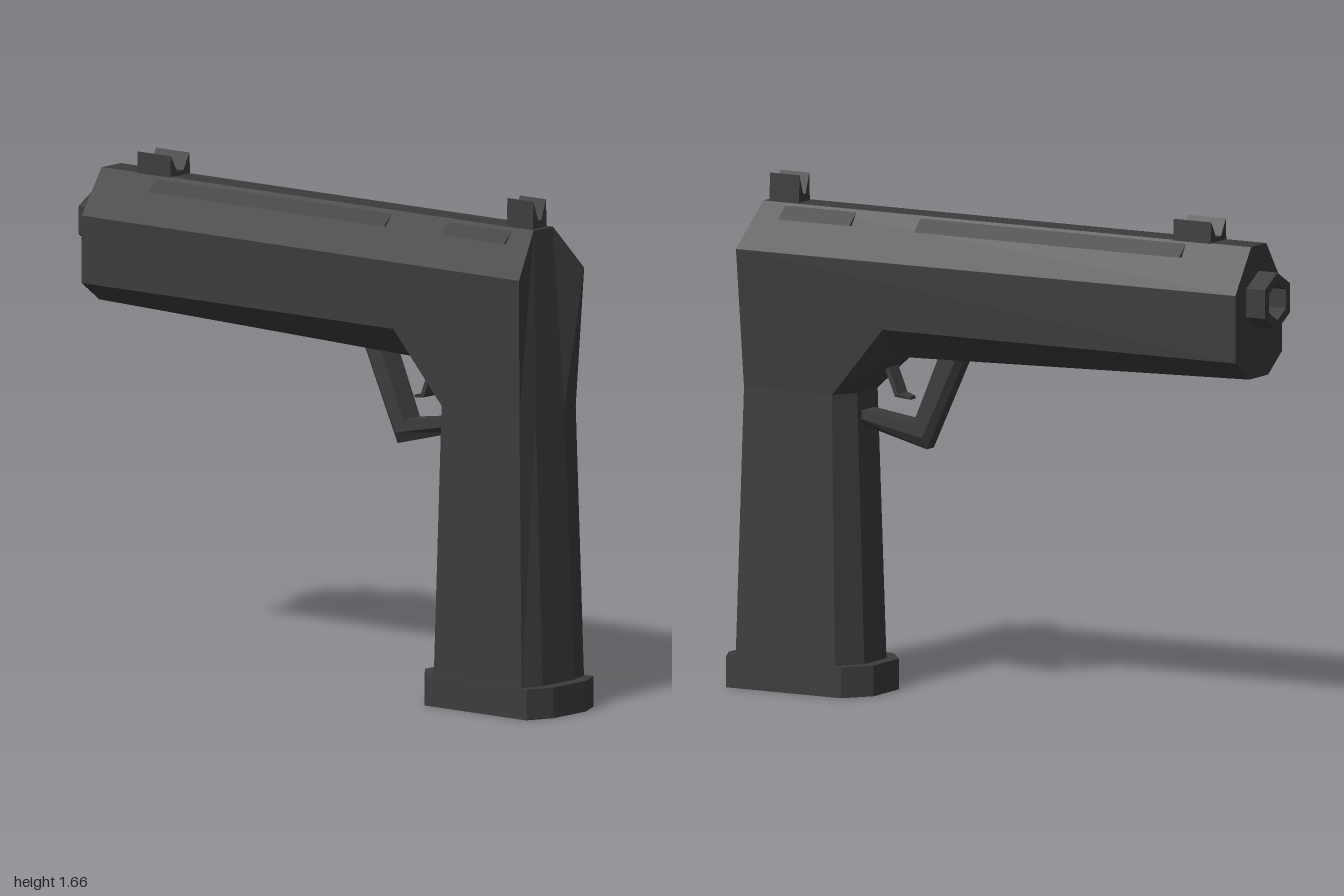
import * as THREE from 'three';

const material = new THREE.MeshStandardMaterial({ color: 0x3c3c3c, flatShading: true });

// Lofts closed rings; each ring is given as its +x half, [x, y, z], and mirrored.
function loft(name, halves) {
  const rings = halves.map(h => [...h, ...[...h].reverse().map(([x, y, z]) => [-x, y, z])]);
  const n = rings[0].length, index = [];
  for (let r = 0; r < rings.length - 1; r++) {
    for (let i = 0; i < n; i++) {
      const j = (i + 1) % n, a = r * n + i, b = r * n + j;
      index.push(a, b, b + n, a, b + n, a + n);
    }
  }
  const last = (rings.length - 1) * n;
  for (let i = 1; i < n - 1; i++) {
    index.push(0, i + 1, i, last, last + i, last + i + 1);
  }
  const g = new THREE.BufferGeometry();
  g.setAttribute('position', new THREE.Float32BufferAttribute(rings.flat(2), 3));
  g.setIndex(index);
  const flat = g.toNonIndexed();
  flat.computeVertexNormals();
  return named(name, flat);
}

function named(name, geometry) {
  const mesh = new THREE.Mesh(geometry, material);
  mesh.name = name;
  return mesh;
}

const shapeOf = points => new THREE.Shape(points.map(([x, y]) => new THREE.Vector2(x, y)));

// Extrudes an x-y shape between two z positions.
function prism(name, shape, z0, z1) {
  const g = new THREE.ExtrudeGeometry(shape, { depth: z1 - z0, bevelEnabled: false });
  g.translate(0, 0, z0);
  return named(name, g);
}

function hexagon(r, cy) {
  return Array.from({ length: 6 }, (_, i) => {
    const a = Math.PI / 2 + i * Math.PI / 3;
    return [r * Math.cos(a), cy + r * Math.sin(a)];
  });
}

// Symmetric sight with two pointed blades and a notch between them.
function sight(name, outer, peak, notch, base, top, floor, z0, z1) {
  return prism(name, shapeOf([
    [-outer, base], [outer, base], [peak, top], [notch, floor], [-notch, floor], [-peak, top],
  ]), z0, z1);
}

export function createModel() {
  const group = new THREE.Group();
  group.name = 'pistol';

  // Grip and slide: one chamfered section that turns the corner
  group.add(loft('gripAndSlide', [
    [[0.08, 0.1, 0.955], [0.155, 0.1, 0.93], [0.155, 0.1, 0.56], [0.07, 0.1, 0.5]],
    [[0.07, 0.98, 0.918], [0.14, 0.98, 0.908], [0.14, 0.98, 0.58], [0.065, 0.98, 0.53]],
    [[0.048, 1.575, 0.89], [0.162, 1.43, 0.925], [0.15, 1.21, 0.385], [0.06, 1.11, 0.385]],
    [[0.048, 1.575, -0.93], [0.148, 1.43, -0.93], [0.148, 1.21, -0.93], [0.06, 1.145, -0.93]],
  ]));

  // Base plate under the grip
  group.add(loft('basePlate', [0, 0.1].map(y => [
    [0.08, y, 1], [0.167, y, 0.96], [0.167, y, 0.53], [0.08, y, 0.46],
  ])));

  // Hollow hexagonal muzzle
  const ring = shapeOf(hexagon(0.093, 1.398));
  ring.holes.push(new THREE.Path(hexagon(0.062, 1.398).map(([x, y]) => new THREE.Vector2(x, y))));
  group.add(prism('muzzle', ring, -1, -0.92));

  // Sights
  group.add(sight('rearSight', 0.035, 0.031, 0.008, 1.565, 1.665, 1.6, 0.765, 0.875));
  group.add(sight('frontSight', 0.05, 0.046, 0.016, 1.56, 1.643, 1.59, -0.78, -0.64));

  // Thin ridges along the sloping top faces
  for (const side of [-1, 1]) {
    for (const [z0, z1] of [[0.54, 0.805], [-0.69, 0.3]]) {
      group.add(prism('slideRidge', shapeOf([
        [side * 0.05, 1.57], [side * 0.097, 1.527], [side * 0.08, 1.527],
      ]), z0, z1));
    }
  }

  // Trigger guard with a chamfered outer edge
  group.add(loft('triggerGuard', [
    [[0.022, 1.13, 0.148], [0.042, 1.13, 0.17], [0.042, 1.13, 0.235]],
    [[0.022, 0.81, 0.295], [0.042, 0.848, 0.302], [0.042, 0.893, 0.335]],
    [[0.022, 0.872, 0.54], [0.042, 0.895, 0.54], [0.042, 0.922, 0.54]],
  ]));

  // Thin bent trigger
  group.add(loft('trigger', [
    [[0.03, 1.11, 0.45], [0.03, 1.11, 0.468]],
    [[0.03, 0.982, 0.398], [0.03, 0.973, 0.41]],
    [[0.015, 0.975, 0.36], [0.015, 0.965, 0.36]],
  ].map(r => r.map(p => [...p]).reverse()).reverse()));

  return group;
}
